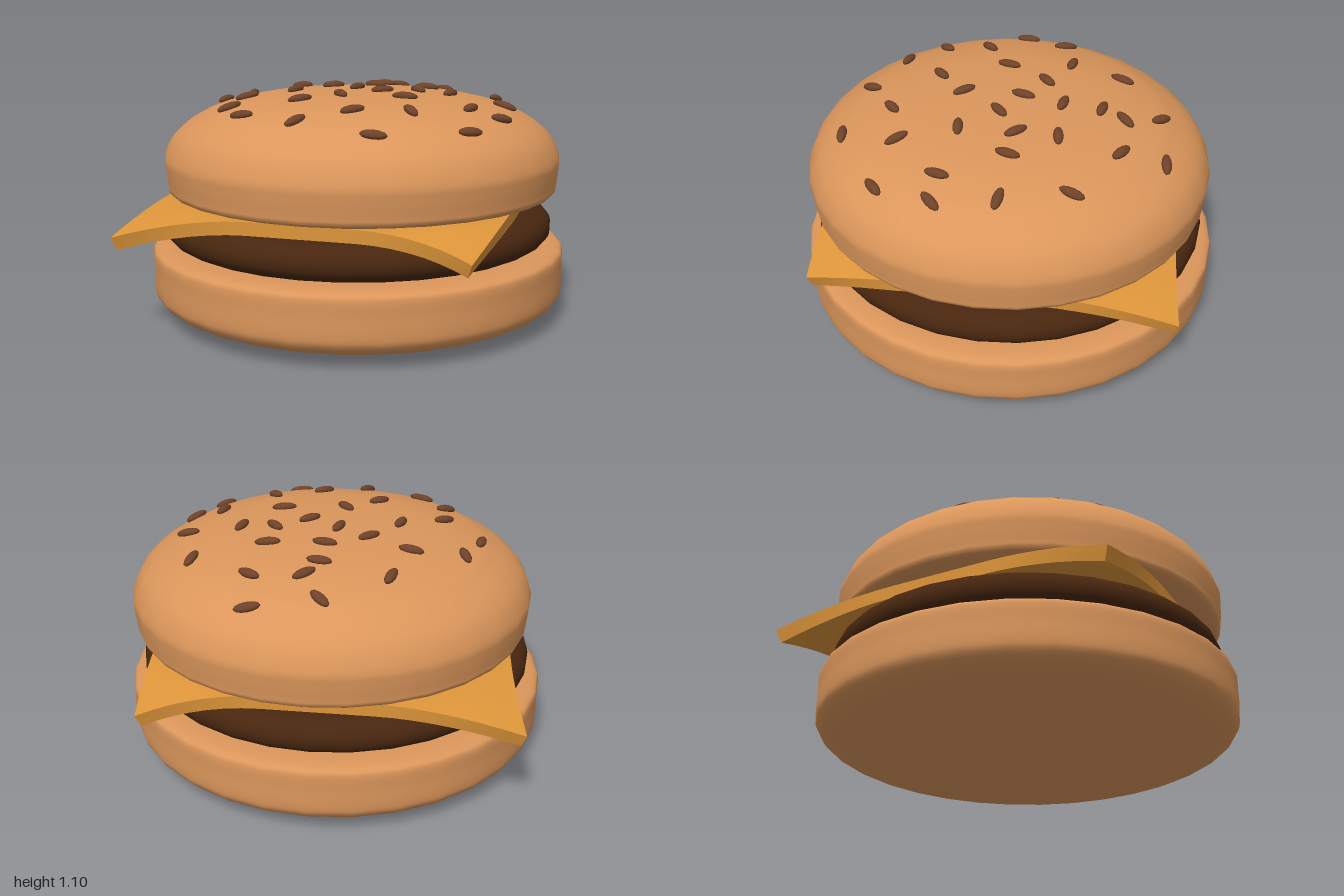
import * as THREE from 'three';

const mat = (color) => new THREE.MeshStandardMaterial({ color });
const SEGMENTS = 32;

// Smooth profile from the centre of the base to the centre of the top
function lathe(name, points, steps, material) {
  const curve = new THREE.SplineCurve(points.map(([r, y]) => new THREE.Vector2(r, y)));
  const profile = curve.getPoints(steps);
  profile.forEach((p) => { p.x = Math.max(p.x, 0); });
  const mesh = new THREE.Mesh(new THREE.LatheGeometry(profile, SEGMENTS), material);
  mesh.name = name;
  return { mesh, profile };
}

// Square slice whose corners hang down past the patty
function cheeseSlice() {
  const geo = new THREE.BoxGeometry(1.64, 0.06, 1.64, 20, 1, 20);
  const pos = geo.attributes.position;
  // sideways drift of each corner [dx, dz], keyed by sign of x and z
  const drift = { '1,1': [-0.08, 0], '-1,1': [-0.07, 0], '1,-1': [-0.03, -0.04], '-1,-1': [-0.07, 0.01] };
  for (let i = 0; i < pos.count; i++) {
    const x = pos.getX(i), y = pos.getY(i), z = pos.getZ(i);
    const t = Math.max(0, (Math.hypot(x, z) - 0.86) / 0.3);
    const bend = Math.pow(t, 1.4);
    const [dx, dz] = drift[`${x < 0 ? -1 : 1},${z < 0 ? -1 : 1}`];
    const tuck = y < 0 ? 0.02 * t : 0; // lower edge leans inward at the corners
    pos.setXYZ(i,
      x - 0.02 + dx * bend - Math.sign(x) * tuck,
      0.55 + y - 0.115 * bend,
      z + dz * bend - Math.sign(z) * tuck);
  }
  geo.computeVertexNormals();
  const mesh = new THREE.Mesh(geo, mat(0xdd953a));
  mesh.name = 'cheeseSlice';
  return mesh;
}

// Seeds on the dome: x, z, turn in degrees
const SEEDS = [
  [-0.02, -0.70, 45], [0.28, -0.74, -8], [0.07, -0.54, -42], [0.31, -0.54, 32],
  [-0.30, -0.50, -75], [0.02, -0.43, 10], [0.61, -0.36, -75], [-0.37, -0.25, 10],
  [0.02, -0.25, 10], [0.28, -0.26, -8], [-0.61, -0.19, 70], [-0.17, -0.15, -42],
  [-0.02, -0.06, -75], [0.28, -0.07, 48], [0.44, -0.06, -75], [0.70, -0.06, 8],
  [-0.68, 0.01, -80], [-0.30, 0.05, -75], [0.13, 0.03, -42], [-0.50, 0.18, -42],
  [-0.02, 0.22, 50], [0.28, 0.19, -8], [0.59, 0.22, -75], [0.73, 0.22, -45],
  [-0.50, 0.40, -42], [-0.17, 0.36, -42], [0.37, 0.45, 52], [0.64, 0.49, -42],
  [-0.37, 0.57, 8], [0.13, 0.53, -42], [-0.08, 0.68, -62], [0.28, 0.73, -8],
];

function sesameSeeds(profile, centreX) {
  const group = new THREE.Group();
  group.name = 'sesameSeeds';
  const geo = new THREE.SphereGeometry(1, 12, 8).scale(0.06, 0.02, 0.024);
  const material = mat(0x6e4229);
  const dome = profile.filter((p) => p.y > 0.8);
  const up = new THREE.Vector3(0, 1, 0);
  for (const [x, z, turn] of SEEDS) {
    const r = Math.hypot(x - centreX, z);
    // find the dome segment under the seed
    let k = dome.findIndex((p) => p.x <= r);
    k = Math.max(1, k);
    const a = dome[k], b = dome[k - 1];
    const slope = (b.y - a.y) / (b.x - a.x);
    const y = a.y + slope * (r - a.x);
    const normal = new THREE.Vector3(-slope * (x - centreX) / r, 1, -slope * z / r).normalize();
    const seed = new THREE.Mesh(geo, material);
    seed.name = 'seed';
    seed.position.set(x, y, z).addScaledVector(normal, 0.008);
    seed.quaternion.setFromUnitVectors(up, normal).multiply(
      new THREE.Quaternion().setFromAxisAngle(up, -THREE.MathUtils.degToRad(turn)));
    group.add(seed);
  }
  return group;
}

export function createModel() {
  const model = new THREE.Group();
  model.name = 'burger';
  const bun = mat(0xdb965b);

  const bottomBun = lathe('bottomBun', [
    [0, 0], [0.4, 0.005], [0.7, 0.018], [0.86, 0.04], [0.95, 0.075], [0.99, 0.115], [1, 0.16],
    [1, 0.24], [1, 0.31], [0.985, 0.335], [0.94, 0.347], [0.85, 0.35], [0.4, 0.35], [0, 0.35],
  ], 52, bun).mesh;

  const patty = lathe('patty', [
    [0, 0.352], [0.5, 0.352], [0.82, 0.354], [0.885, 0.365], [0.925, 0.395], [0.938, 0.437],
    [0.925, 0.479], [0.885, 0.509], [0.82, 0.52], [0.5, 0.522], [0, 0.522],
  ], 40, mat(0x48260f)).mesh;

  // Top bun sits a little to one side
  const centreX = 0.02;
  const top = lathe('topBun', [
    [0, 0.583], [0.5, 0.584], [0.82, 0.59], [0.91, 0.6], [0.935, 0.62], [0.94, 0.65], [0.948, 0.72],
    [0.947, 0.775], [0.91, 0.855], [0.85, 0.915], [0.77, 0.963], [0.69, 0.998], [0.5, 1.042],
    [0.25, 1.064], [0, 1.07],
  ], 56, bun);
  top.mesh.position.x = centreX;

  model.add(bottomBun, patty, cheeseSlice(), top.mesh, sesameSeeds(top.profile, centreX));
  return model;
}
